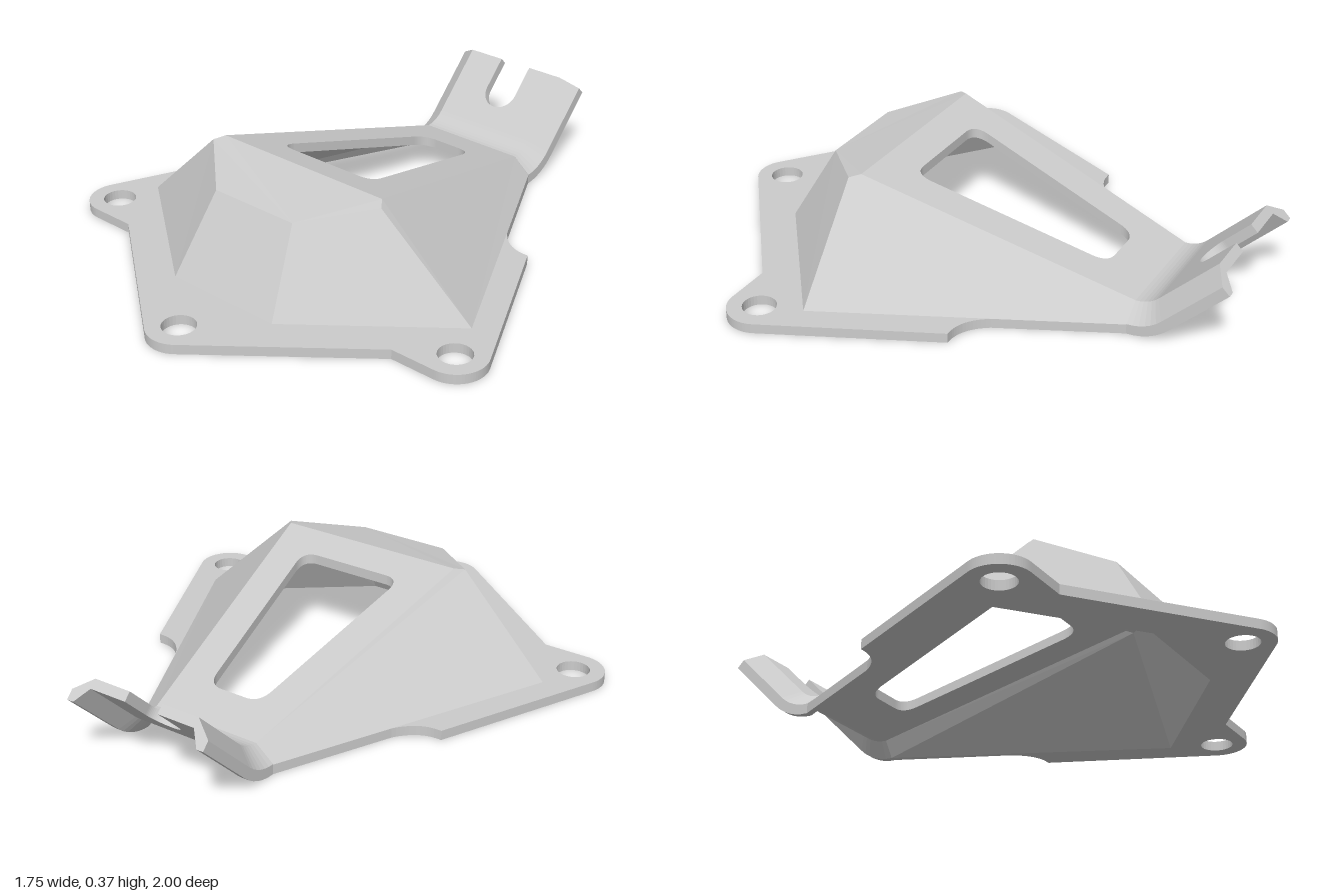
import * as THREE from 'three';

const T = 0.035; // sheet thickness
const material = new THREE.MeshStandardMaterial({ color: 0xcccccc, flatShading: true, side: THREE.DoubleSide });

function addMesh(group, geometry, name) {
  const mesh = new THREE.Mesh(geometry, material);
  mesh.name = name;
  group.add(mesh);
}

function fromTriangles(points) {
  const g = new THREE.BufferGeometry().setFromPoints(points);
  g.computeVertexNormals();
  return g;
}

const fan = (p) => p.slice(2).flatMap((_, i) => [p[0], p[i + 1], p[i + 2]]);

// Sheet cut from a shape drawn in x and z, lying on y = 0
function sheet(shape) {
  return new THREE.ExtrudeGeometry(shape, { depth: T, bevelEnabled: false, curveSegments: 16 })
    .rotateX(Math.PI / 2).translate(0, T, 0);
}

// Corners of the right half of the raised shell: outer skin, inner skin
const corners = {
  A: [[0.72, 0.035, 0.30], [0.705, 0, 0.285]],
  B: [[0.22, 0.035, 0.69], [0.212, 0, 0.673]],
  C: [[0.375, 0.36, 0.335], [0.36, 0.325, 0.32]],
  D: [[0.17, 0.315, 0.53], [0.165, 0.28, 0.512]],
  E: [[0.35, 0.37, 0.30], [0.345, 0.335, 0.295]],
  F: [[0.205, 0.092, -0.66], [0.205, 0.057, -0.66]],
  G: [[0.27, 0.035, -0.66], [0.245, 0, -0.66]],
};

// Double-skinned panel; lower-case letters are the mirrored corners
function panel(letters, mirror = false) {
  const skin = (k) => [...letters].map((l) => {
    const [x, y, z] = corners[l.toUpperCase()][k];
    const flip = (l !== l.toUpperCase()) !== mirror;
    return new THREE.Vector3(flip ? -x : x, y, z);
  });
  const outer = skin(0), inner = skin(1);
  (mirror ? outer : inner).reverse();
  return fromTriangles([...fan(outer), ...fan(inner)]);
}

// Base flange: horseshoe outline with three ears
function baseFlange() {
  const half = new THREE.Path();
  half.moveTo(0, 0.995);
  half.absarc(0, 0.885, 0.11, Math.PI / 2, 0.9, true);
  half.lineTo(0.6, 0.555);
  half.lineTo(0.765, 0.555);
  half.absarc(0.765, 0.445, 0.11, Math.PI / 2, -0.43, true);
  half.lineTo(0.60, -0.18);
  half.lineTo(0.585, -0.18);
  half.quadraticCurveTo(0.51, -0.18, 0.458, -0.26);
  for (const [x, z] of [[0.27, -0.66], [0.245, -0.66], [0.705, 0.285], [0.212, 0.673]]) half.lineTo(x, z);
  const right = half.getPoints(12);
  const left = right.slice(1).reverse().map((p) => new THREE.Vector2(-p.x, p.y));
  const shape = new THREE.Shape([...right, ...left]);
  for (const [x, z] of [[0, 0.885], [0.765, 0.445], [-0.765, 0.445]]) {
    shape.holes.push(new THREE.Path().absarc(x, z, 0.058, 0, Math.PI * 2, true));
  }
  return sheet(shape);
}

// Sloping top panel with a rounded window
function topPanel() {
  const shape = new THREE.Shape([[-0.35, 0.30], [0.35, 0.30], [0.205, -0.66], [-0.205, -0.66]]
    .map(([x, z]) => new THREE.Vector2(x, z)));
  const w = new THREE.Path();
  w.moveTo(0.05, -0.51);
  w.quadraticCurveTo(0.105, -0.51, 0.113, -0.45);
  w.lineTo(0.197, 0.12);
  w.quadraticCurveTo(0.203, 0.18, 0.145, 0.18);
  w.lineTo(-0.145, 0.18);
  w.quadraticCurveTo(-0.203, 0.18, -0.197, 0.12);
  w.lineTo(-0.113, -0.45);
  w.quadraticCurveTo(-0.105, -0.51, -0.05, -0.51);
  shape.holes.push(w);
  const g = sheet(shape), p = g.attributes.position;
  for (let i = 0; i < p.count; i++) {
    p.setY(i, p.getY(i) - T + 0.092 + (p.getZ(i) + 0.66) * 0.278 / 0.96);
  }
  g.computeVertexNormals();
  return g;
}

// Tab position: bend angle, then straight run s; d is the depth below the top face
const BEND = Math.PI / 4, RUN = 0.276;
function tabPoint(x, d, angle, s) {
  const r = 0.113 + d;
  return new THREE.Vector3(x,
    0.205 - r * Math.cos(angle) + s * Math.sin(angle),
    -0.66 - r * Math.sin(angle) - s * Math.cos(angle));
}
const bendStations = Array.from({ length: 7 }, (_, i) => [BEND * i / 6, 0]);

// Sweep a convex [x, depth] section along the tab
function sweep(section, stations) {
  const rings = stations.map(([a, s]) => section.map(([x, d]) => tabPoint(x, d, a, s)));
  const tris = [...fan([...rings[0]].reverse()), ...fan(rings[rings.length - 1])];
  for (let i = 0; i + 1 < rings.length; i++) {
    section.forEach((_, j) => {
      const k = (j + 1) % section.length;
      tris.push(...fan([rings[i][j], rings[i][k], rings[i + 1][k], rings[i + 1][j]]));
    });
  }
  return fromTriangles(tris);
}

// Straight end of the tab with an open slot
function slottedPlate() {
  const s = new THREE.Shape();
  s.moveTo(-0.205, 0);
  s.lineTo(0.205, 0);
  s.lineTo(0.205, RUN);
  s.lineTo(0.065, RUN);
  s.lineTo(0.065, 0.15);
  s.absarc(0, 0.15, 0.065, 0, Math.PI, true);
  s.lineTo(-0.065, RUN);
  s.lineTo(-0.205, RUN);
  const g = new THREE.ExtrudeGeometry(s, { depth: T, bevelEnabled: false, curveSegments: 16 });
  const p = g.attributes.position;
  for (let i = 0; i < p.count; i++) {
    const v = tabPoint(p.getX(i), T - p.getZ(i), BEND, p.getY(i));
    p.setXYZ(i, v.x, v.y, v.z);
  }
  g.computeVertexNormals();
  return g;
}

export function createModel() {
  const group = new THREE.Group();
  group.name = 'sheetMetalBracket';
  addMesh(group, baseFlange(), 'baseFlange');

  // Raised shell
  addMesh(group, topPanel(), 'topPanel');
  addMesh(group, panel('BDdb'), 'frontPanel');
  addMesh(group, panel('DCEecd'), 'upperFrontPanel');
  for (const mirror of [false, true]) {
    const side = mirror ? 'right' : 'left';
    addMesh(group, panel('AGFEC', mirror), side + 'SidePanel');
    addMesh(group, panel('ACDB', mirror), side + 'CornerPanel');
  }

  // Upturned channel tab
  addMesh(group, sweep([[-0.205, 0], [0.205, 0], [0.205, T], [-0.205, T]], bendStations), 'tabBend');
  addMesh(group, slottedPlate(), 'tabSlottedPlate');
  const wing = [[0.205, 0], [0.27, 0.055], [0.27, 0.092], [0.245, 0.092], [0.205, T]];
  const mirrored = wing.map(([x, d]) => [-x, d]).reverse();
  const stations = [...bendStations, [BEND, RUN]];
  addMesh(group, sweep(wing, stations), 'leftTabWing');
  addMesh(group, sweep(mirrored, stations), 'rightTabWing');
  return group;
}
